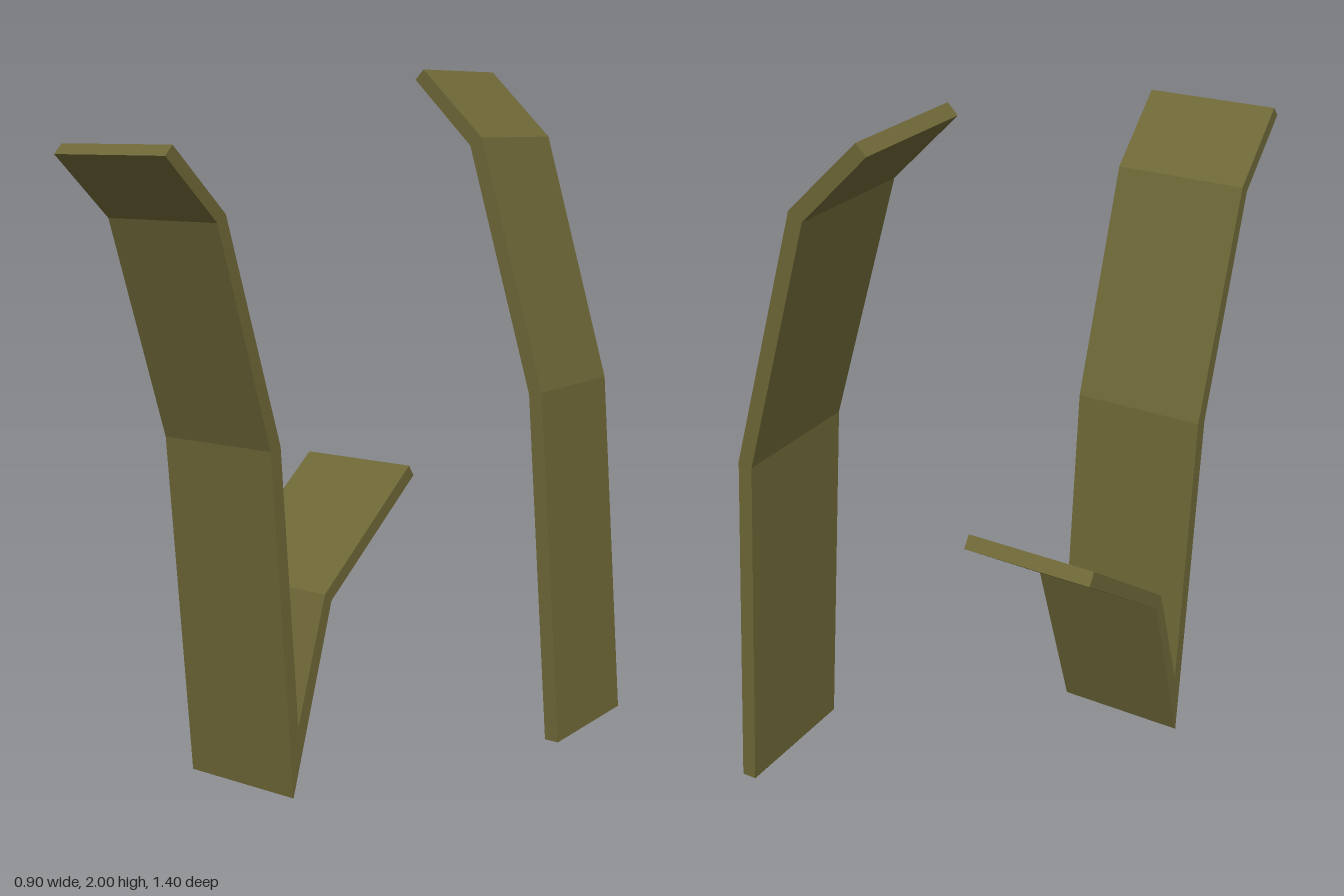
import * as THREE from 'three';

// Extrude a closed side profile into a bent strip of the given width
function bentStrip(name, profile, width, material) {
  const shape = new THREE.Shape(profile.map(([u, v]) => new THREE.Vector2(u, v)));
  const geometry = new THREE.ExtrudeGeometry(shape, { depth: width, bevelEnabled: false });
  const mesh = new THREE.Mesh(geometry, material);
  mesh.name = name;
  return mesh;
}

export function createModel() {
  const model = new THREE.Group();
  model.name = 'bentBlades';
  const olive = new THREE.MeshStandardMaterial({ color: 0x6e6737 });
  olive.name = 'olive';

  // Forked blade: tall front leaf and short back leaf meeting in a point (z, y)
  const forked = bentStrip('forkedBlade', [
    [0.23, 0], [0.315, 1.0], [0.515, 1.61], [0.7, 1.777],
    [0.673, 1.803], [0.482, 1.63], [0.273, 1.008], [0.206, 0.2],
    [0.08, 0.555], [-0.336, 0.853], [-0.36, 0.82], [0.05, 0.53],
  ], 0.372, olive);
  forked.geometry.rotateY(-Math.PI / 2);
  forked.geometry.translate(-0.078, 0, 0);
  model.add(forked);

  // Single blade: stands behind and curls sideways (x, y)
  const single = bentStrip('singleBlade', [
    [0.405, 0.108], [0.447, 0.108], [0.371, 1.115], [0.165, 1.812], [-0.03, 2.0],
    [-0.057, 1.972], [0.128, 1.79], [0.331, 1.107],
  ], 0.374, olive);
  single.geometry.translate(0, 0, -0.702);
  model.add(single);

  return model;
}
